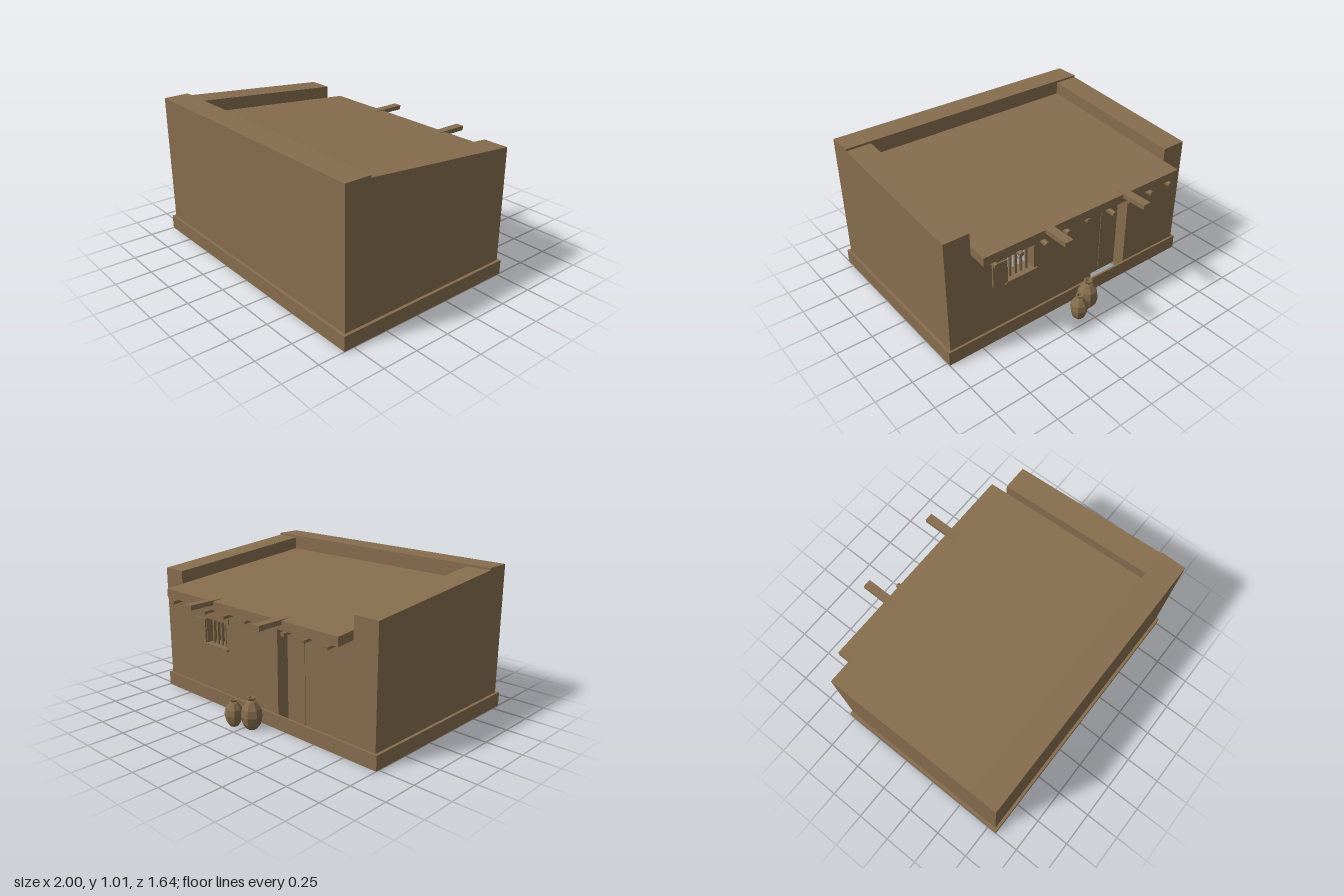
import * as THREE from 'three';

export function createModel() {
  const model = new THREE.Group();
  const clay = new THREE.MeshStandardMaterial({ color: 0x866d4e, side: THREE.DoubleSide });
  clay.name = 'clay brown';

  const add = (name, geometry, parent = model) => {
    const mesh = new THREE.Mesh(geometry, clay);
    mesh.name = name;
    parent.add(mesh);
    return mesh;
  };
  // flat convex panel from its corners
  const panel = (name, ...pts) => {
    const pos = [];
    for (let i = 1; i < pts.length - 1; i++) pos.push(...pts[0], ...pts[i], ...pts[i + 1]);
    const g = new THREE.BufferGeometry();
    g.setAttribute('position', new THREE.Float32BufferAttribute(pos, 3));
    g.computeVertexNormals();
    return add(name, g);
  };
  // box given by its limits
  const box = (name, x0, x1, y0, y1, z0, z1) =>
    add(name, new THREE.BoxGeometry(x1 - x0, y1 - y0, z1 - z0)
      .translate((x0 + x1) / 2, (y0 + y1) / 2, (z0 + z1) / 2));
  const outline = (pts) => pts.map(([x, y]) => new THREE.Vector2(x, y));

  const W = 0.98, IN = 0.8, ZB = -0.51, ZF = 0.8, ZP = 0.62;
  const BASE = 0.1, TOP = 1.01, SIDE = 0.995, LOW = 0.895;
  const roofY = (z) => 0.795 + (z + 0.64) * 0.088;

  // foundation band: thin skirt and ledge on all four sides
  const ring = (x, z0, z1, y) => [[x, y, z1], [x, y, z0], [-x, y, z0], [-x, y, z1]];
  const bottom = ring(1, -0.525, 0.82, 0);
  const lip = ring(1, -0.525, 0.82, BASE);
  const foot = ring(W, ZB, ZF, BASE);
  for (let i = 0; i < 4; i++) {
    const j = (i + 1) % 4;
    panel('foundationSide', bottom[i], bottom[j], lip[j], lip[i]);
    panel('foundationLedge', lip[i], lip[j], foot[j], foot[i]);
  }

  // front wall and its parapet
  panel('frontWall', [-W, BASE, ZF], [W, BASE, ZF], [W, TOP, ZF], [-W, TOP, ZF]);
  panel('frontParapetTop', [-W, TOP, ZF], [W, TOP, ZF], [W, TOP, ZP], [-W, TOP, ZP]);
  panel('frontParapetInner', [W, 0.88, ZP], [-W, 0.88, ZP], [-W, TOP, ZP], [W, TOP, ZP]);

  // side walls with sloping parapets
  for (const s of [1, -1]) {
    const order = (pts) => (s > 0 ? pts : pts.reverse());
    panel('sideWall', ...order([[s * W, BASE, ZF], [s * W, BASE, ZB], [s * W, LOW, ZB],
      [s * W, SIDE, ZP], [s * W, SIDE, ZF]]));
    panel('sideWallCap', ...order([[s * W, SIDE, ZF], [s * W, SIDE, ZP], [s * W, TOP, ZP], [s * W, TOP, ZF]]));
    panel('sideParapetTop', ...order([[s * IN, SIDE, ZP], [s * W, SIDE, ZP], [s * W, LOW, ZB], [s * IN, LOW, ZB]]));
    panel('sideParapetInner', ...order([[s * IN, roofY(ZB) - 0.06, ZB], [s * IN, roofY(ZP) - 0.06, ZP],
      [s * IN, SIDE, ZP], [s * IN, LOW, ZB]]));
  }

  // entrance wall with doorway notch and window hole
  const D0 = -0.48, D1 = -0.17, DT = 0.68, V0 = 0.33, V1 = 0.54, VB = 0.43, VT = 0.61;
  const wall = new THREE.Shape(outline([[W, BASE], [W, LOW], [IN, LOW], [IN, 0.76], [-IN, 0.76], [-IN, LOW],
    [-W, LOW], [-W, BASE], [D0, BASE], [D0, DT], [D1, DT], [D1, BASE]]));
  wall.holes.push(new THREE.Path(outline([[V0, VB], [V1, VB], [V1, VT], [V0, VT]])));
  const wallGeo = new THREE.ShapeGeometry(wall).rotateY(Math.PI).scale(-1, 1, 1).translate(0, 0, ZB);
  const normals = wallGeo.attributes.normal;
  // the mirrored shape faces outward again once its corner order is reversed
  wallGeo.setIndex(Array.from(wallGeo.index.array).reverse());
  for (let i = 0; i < normals.count; i++) normals.setXYZ(i, 0, 0, -1);
  add('entranceWall', wallGeo);

  // recessed reveals
  const reveal = (name, x0, x1, y0, y1, z1) => {
    panel(name + 'Jamb', [x0, y0, ZB], [x0, y1, ZB], [x0, y1, z1], [x0, y0, z1]);
    panel(name + 'Jamb', [x1, y0, z1], [x1, y1, z1], [x1, y1, ZB], [x1, y0, ZB]);
    panel(name + 'Head', [x0, y1, ZB], [x1, y1, ZB], [x1, y1, z1], [x0, y1, z1]);
  };
  reveal('door', D0, D1, 0.03, DT, -0.42);
  reveal('window', V0, V1, VB, VT, -0.42);
  panel('windowSillInner', [V0, VB, -0.42], [V1, VB, -0.42], [V1, VB, ZB], [V0, VB, ZB]);

  // two door boards
  const mid = (D0 + D1) / 2;
  box('doorBoard', D0, mid - 0.002, 0.04, DT, -0.42, -0.4);
  box('doorBoard', mid + 0.002, D1, 0.04, DT, -0.42, -0.4);

  // window bars, sill, lintel and open shutter
  for (let i = 1; i <= 4; i++) {
    const x = V0 + (V1 - V0) * i / 5;
    box('windowBar', x - 0.007, x + 0.007, VB, VT, -0.487, -0.473);
  }
  box('windowSill', V0 - 0.02, V1 + 0.02, 0.41, VB, -0.525, ZB);
  box('windowLintel', V0 - 0.03, V1 + 0.03, VT, 0.645, -0.516, ZB);
  box('windowShutter', V1 + 0.005, V1 + 0.115, VB, 0.6, -0.522, ZB);

  // sloping roof slab overhanging the entrance
  const slab = new THREE.Shape(outline([[-0.64, roofY(-0.64) - 0.06], [ZP, roofY(ZP) - 0.06],
    [ZP, roofY(ZP)], [-0.64, roofY(-0.64)]]));
  add('roofSlab', new THREE.ExtrudeGeometry(slab, { depth: 2 * IN, bevelEnabled: false })
    .rotateY(-Math.PI / 2).translate(IN, 0, 0));

  // roof poles under the slab, with uneven ends
  const ends = [0.66, 0.665, 0.65, 0.685, 0.645, 0.665, 0.675, 0.66, 0.66];
  const tilt = Math.atan(0.088);
  ends.forEach((end, i) => {
    const length = end + 0.6;
    const g = new THREE.CylinderGeometry(0.018, 0.018, length, 6).toNonIndexed();
    g.computeVertexNormals();
    const pole = add('roofPole', g);
    const z = (0.6 - end) / 2;
    pole.rotation.x = Math.PI / 2 - tilt;
    pole.position.set(-0.72 + i * 0.18, roofY(z) - 0.08, z);
  });

  // two projecting beams
  for (const x of [-0.32, 0.32]) box('projectingBeam', x - 0.03, x + 0.03, 0.77, 0.802, -0.82, -0.45);

  // faceted storage jars
  const profile = outline([[0, 0], [0.035, 0], [0.06, 0.035], [0.073, 0.09], [0.066, 0.14], [0.034, 0.188],
    [0.022, 0.197], [0.031, 0.216], [0.02, 0.216], [0.015, 0.195], [0, 0.195]]);
  const jar = (x, z, k, turn) => {
    const g = new THREE.LatheGeometry(profile, 7).toNonIndexed();
    g.computeVertexNormals();
    const mesh = add('jar', g);
    mesh.position.set(x, 0, z);
    mesh.scale.setScalar(k);
    mesh.rotation.y = turn;
  };
  jar(-0.04, -0.625, 1, 0);
  jar(0.08, -0.675, 0.85, 0.5);

  return model;
}
